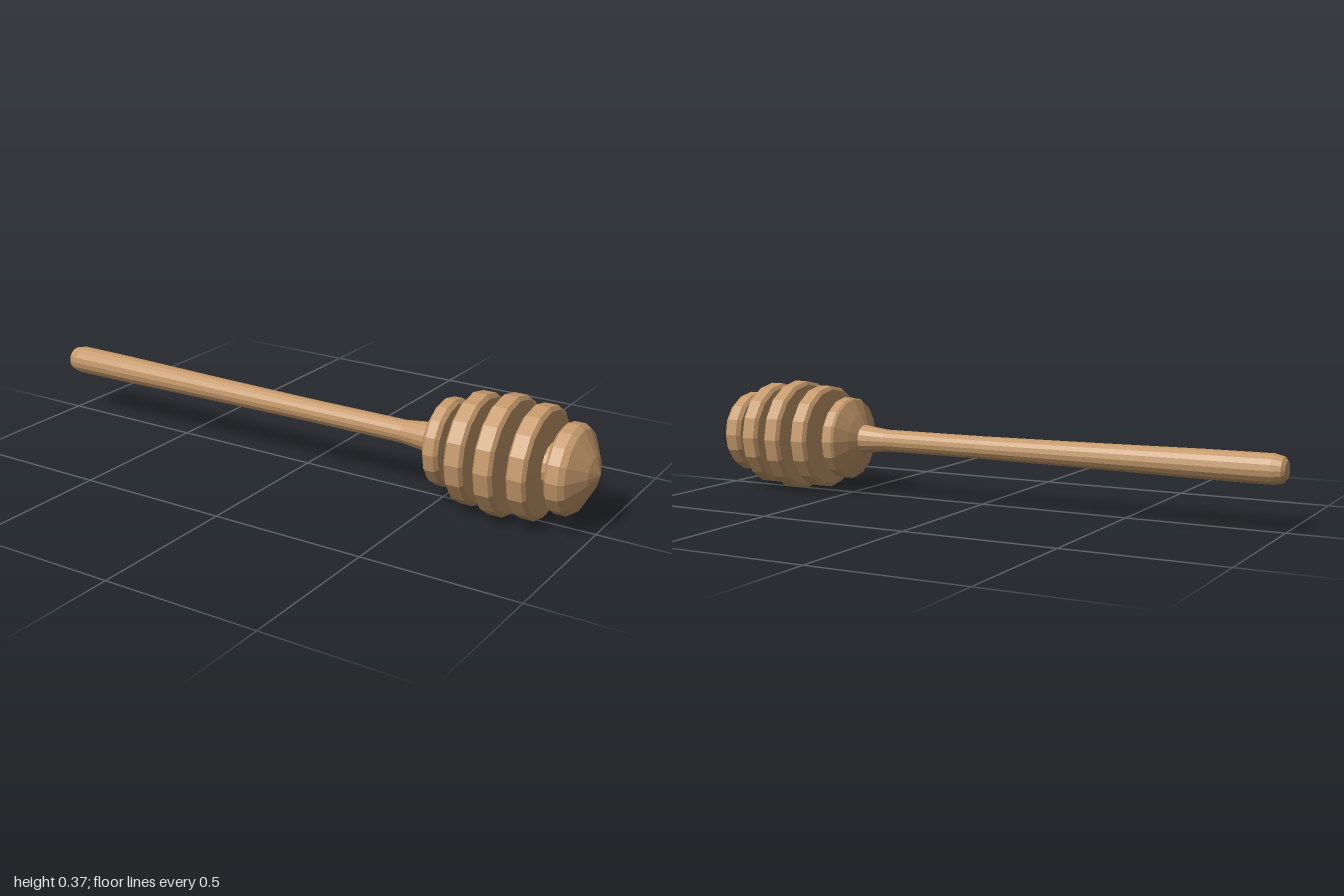
import * as THREE from 'three';

export function createModel() {
  const model = new THREE.Group();
  model.name = 'honeyDipper';
  const wood = new THREE.MeshStandardMaterial({ color: 0xc4986a, flatShading: true });

  // Turned part lying along x; profile is [x, radius] from left end to tip
  function turned(name, profile) {
    const points = profile.map(([x, r]) => new THREE.Vector2(r, x));
    const geometry = new THREE.LatheGeometry(points, 16);
    geometry.rotateZ(-Math.PI / 2);
    const mesh = new THREE.Mesh(geometry, wood);
    mesh.name = name;
    mesh.position.y = 0.186;
    model.add(mesh);
  }

  // Tapered handle with a rounded end and a flare into the head
  turned('handle', [
    [-1, 0], [-1, 0.027], [-0.99, 0.04], [-0.96, 0.047], [-0.75, 0.046],
    [-0.4, 0.041], [0, 0.037], [0.36, 0.037], [0.45, 0.048], [0.47, 0.048],
  ]);

  // Core that joins the discs
  turned('core', [[0.5, 0.068], [0.92, 0.068]]);

  // Rounded collar disc next to the handle
  turned('collarDisc', [
    [0.45, 0], [0.45, 0.048], [0.465, 0.082], [0.492, 0.132], [0.5, 0.138],
    [0.53, 0.138], [0.541, 0.126], [0.546, 0.068], [0.546, 0],
  ]);

  // Three grooved discs, the middle one largest
  for (const [x, r] of [[0.61, 0.174], [0.71, 0.186], [0.81, 0.174]]) {
    turned('disc', [
      [x - 0.036, 0], [x - 0.036, 0.068], [x - 0.031, r - 0.012], [x - 0.022, r],
      [x + 0.022, r], [x + 0.031, r - 0.012], [x + 0.036, 0.068], [x + 0.036, 0],
    ]);
  }

  // Domed tip disc
  turned('tipDisc', [
    [0.874, 0], [0.874, 0.068], [0.879, 0.126], [0.89, 0.138], [0.925, 0.138],
    [0.942, 0.126], [0.982, 0.053], [1, 0],
  ]);

  return model;
}
